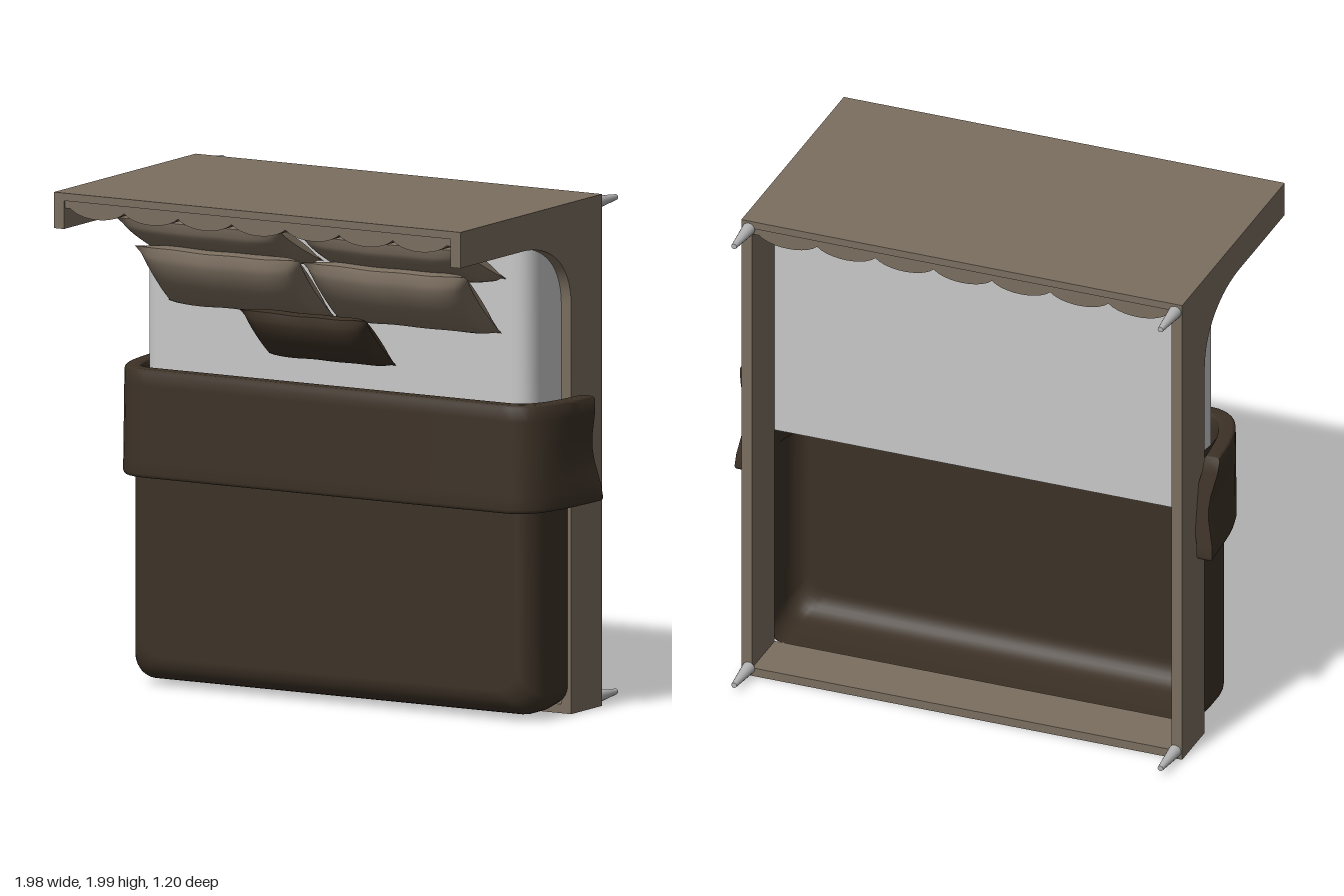
import * as THREE from 'three';
import { toCreasedNormals } from 'three/addons/utils/BufferGeometryUtils.js';

const mat = (name, color, side = THREE.FrontSide) => {
  const m = new THREE.MeshStandardMaterial({ color, side });
  m.name = name;
  return m;
};

// Move every vertex by a rule
function warp(geo, rule) {
  const p = geo.attributes.position, v = new THREE.Vector3();
  for (let i = 0; i < p.count; i++) {
    rule(v.fromBufferAttribute(p, i));
    p.setXYZ(i, v.x, v.y, v.z);
  }
  geo.computeVertexNormals();
  return geo;
}

// Cushion: a box whose faces bulge and whose rim closes to a pinched seam
function cushionGeometry(w, h, t) {
  return warp(new THREE.BoxGeometry(2, 2, 2, 28, 16, 1), (v) => {
    const { x: u, y: s } = v;
    const bulge = Math.pow((1 - u ** 6) * (1 - s ** 2), 0.55);
    v.z = Math.sign(v.z) * (t / 2) * bulge;
    v.x = u * (w / 2) * (1 - 0.05 * (1 - s * s));
    v.y = s * (h / 2) * (1 - 0.08 * (1 - u * u) + 0.015 * Math.sin(u * 9));
  });
}

// Open-backed cover with rounded front edges, lofted from U-shaped rings
function coverGeometry(w, y0, y1, zBack, zFront, r) {
  const rings = [[zBack, 0.012], [zBack + 0.1, 0]];
  for (let i = 0; i <= 8; i++) {
    const a = (i / 8) * Math.PI / 2;
    rings.push([zFront - r + r * Math.sin(a), r * (1 - Math.cos(a))]);
  }
  const pos = [], idx = [], c = 0.08;
  let n = 0;
  for (const [z, inset] of rings) {
    const hw = w - inset * 0.75, b = y0 + inset, line = [[hw, y1]];
    for (let i = 0; i <= 6; i++) {
      const a = (i / 6) * Math.PI / 2;
      line.push([hw - c + c * Math.cos(a), b + c - c * Math.sin(a)]);
    }
    const all = line.concat(line.map(([x, y]) => [-x, y]).reverse());
    n = all.length;
    all.forEach(([x, y]) => pos.push(x, y, z));
  }
  for (let i = 0; i < n; i++) pos.push(0, y1, zFront);
  for (let j = 0; j < rings.length; j++) {
    for (let i = 0; i < n - 1; i++) {
      const a = j * n + i, b = a + n;
      idx.push(a, b, a + 1, b, b + 1, a + 1);
    }
  }
  const g = new THREE.BufferGeometry();
  g.setAttribute('position', new THREE.Float32BufferAttribute(pos, 3));
  g.setIndex(idx);
  g.computeVertexNormals();
  return g;
}

export function createModel() {
  const root = new THREE.Group();
  root.name = 'bed';
  const tan = mat('taupe upholstery', 0x7b6e5f);
  const dark = mat('dark brown blanket', 0x3c3126, THREE.DoubleSide);
  const white = mat('white sheet', 0xc8c8c8);
  const metal = mat('leg metal', 0xb4b4b4);
  const add = (name, geo, m, x = 0, y = 0, z = 0) => {
    const mesh = new THREE.Mesh(geo, m);
    mesh.name = name;
    mesh.position.set(x, y, z);
    root.add(mesh);
    return mesh;
  };

  // Side rails that sweep up into the headboard wings (profile in z, y)
  const side = new THREE.Shape();
  side.moveTo(-0.45, 0.01);
  side.lineTo(-0.22, 0.01);
  side.lineTo(-0.22, 1.6);
  side.bezierCurveTo(-0.22, 1.77, -0.06, 1.86, 0.14, 1.86);
  side.lineTo(0.6, 1.86);
  side.lineTo(0.6, 2);
  side.lineTo(-0.45, 2);
  const sideGeo = toCreasedNormals(new THREE.ExtrudeGeometry(side,
    { depth: 0.045, bevelEnabled: false, curveSegments: 16 }).rotateY(-Math.PI / 2), 0.5);
  add('leftSideRail', sideGeo, tan, 0.912);
  add('rightSideRail', sideGeo, tan, -0.867);

  // Headboard panel and foot rail
  add('headboardPanel', new THREE.BoxGeometry(1.76, 0.03, 1.05), tan, 0, 1.985, 0.075);
  add('footRail', new THREE.BoxGeometry(1.76, 0.035, 0.23), tan, 0, 0.0275, -0.335);

  // Padded headboard channels
  const pads = new THREE.Shape(), step = 0.241, start = -3.5 * step;
  pads.moveTo(-0.868, 1.972);
  pads.lineTo(-0.868, 1.94);
  pads.lineTo(start, 1.94);
  for (let i = 0; i < 7; i++) {
    const x = start + i * step;
    pads.bezierCurveTo(x + 0.05, 1.894, x + step - 0.05, 1.894, x + step, 1.94);
  }
  pads.lineTo(0.868, 1.94);
  pads.lineTo(0.868, 1.972);
  add('headboardPadding', toCreasedNormals(new THREE.ExtrudeGeometry(pads,
    { depth: 1.03, bevelEnabled: false, curveSegments: 10 }), 0.5), tan, 0, 0, -0.44);

  // Mattress, rounded along its long upper edges (profile in x, z)
  const bed = new THREE.Shape();
  bed.moveTo(-0.868, -0.22);
  bed.lineTo(0.868, -0.22);
  bed.lineTo(0.868, -0.07);
  bed.quadraticCurveTo(0.868, 0.025, 0.77, 0.025);
  bed.lineTo(-0.77, 0.025);
  bed.quadraticCurveTo(-0.868, 0.025, -0.868, -0.07);
  add('mattress', toCreasedNormals(new THREE.ExtrudeGeometry(bed,
    { depth: 0.95, bevelEnabled: false }).rotateX(Math.PI / 2), 0.5), white, 0, 1.92);

  // Blanket
  add('blanket', coverGeometry(0.905, 0.03, 1.23, -0.225, 0.073, 0.1), dark);

  // Folded throw draped over both sides (profile in x, z)
  const fold = new THREE.Shape();
  fold.moveTo(0.965, -0.29);
  fold.bezierCurveTo(0.96, -0.1, 0.97, 0.105, 0.8, 0.105);
  fold.lineTo(-0.8, 0.105);
  fold.bezierCurveTo(-0.97, 0.105, -0.96, -0.1, -0.965, -0.29);
  fold.lineTo(-0.925, -0.29);
  fold.bezierCurveTo(-0.92, -0.1, -0.92, 0.06, -0.8, 0.06);
  fold.lineTo(0.8, 0.06);
  fold.bezierCurveTo(0.92, 0.06, 0.92, -0.1, 0.925, -0.29);
  const foldGeo = new THREE.ExtrudeGeometry(fold, { depth: 0.39, steps: 8, curveSegments: 12,
    bevelThickness: 0.015, bevelSize: 0.012, bevelSegments: 3 }).rotateX(Math.PI / 2);
  warp(foldGeo, (v) => {
    const k = -v.y / 0.39; // 0 at the head end, 1 at the foot end
    if (v.z < 0) {
      v.x += Math.sign(v.x) * -v.z * 0.05 * (Math.cos(k * 6.3) - 0.3 * k);
      v.z *= 0.88 + 0.22 * k;
    } else v.z += 0.01 * k;
  });
  add('foldedThrow', toCreasedNormals(foldGeo, 0.8), dark, 0, 1.235);

  // Pillows: x, y, z, width, height, thickness, lean
  const pillow = (name, m, x, y, z, w, h, t, lean) => {
    add(name, cushionGeometry(w, h, t), m, x, y, z).rotation.x = lean;
  };
  for (const s of [1, -1]) {
    const label = s > 0 ? 'left' : 'right';
    pillow(label + 'BackPillow', tan, s * 0.41 - 0.015, 1.8, 0.18, 0.75, 0.35, 0.13, 1.12);
    pillow(label + 'FrontPillow', tan, s * 0.375 + 0.01, 1.64, 0.165, 0.74, 0.36, 0.15, 0.8);
  }
  pillow('accentCushion', dark, 0, 1.45, 0.15, 0.57, 0.3, 0.12, 0.83);

  // Tapered legs
  const legGeo = new THREE.CylinderGeometry(0.026, 0.011, 0.15, 16).rotateX(Math.PI / 2);
  for (const x of [-0.882, 0.882]) {
    for (const y of [0.042, 1.965]) add('leg', legGeo, metal, x, y, -0.525);
  }
  return root;
}
